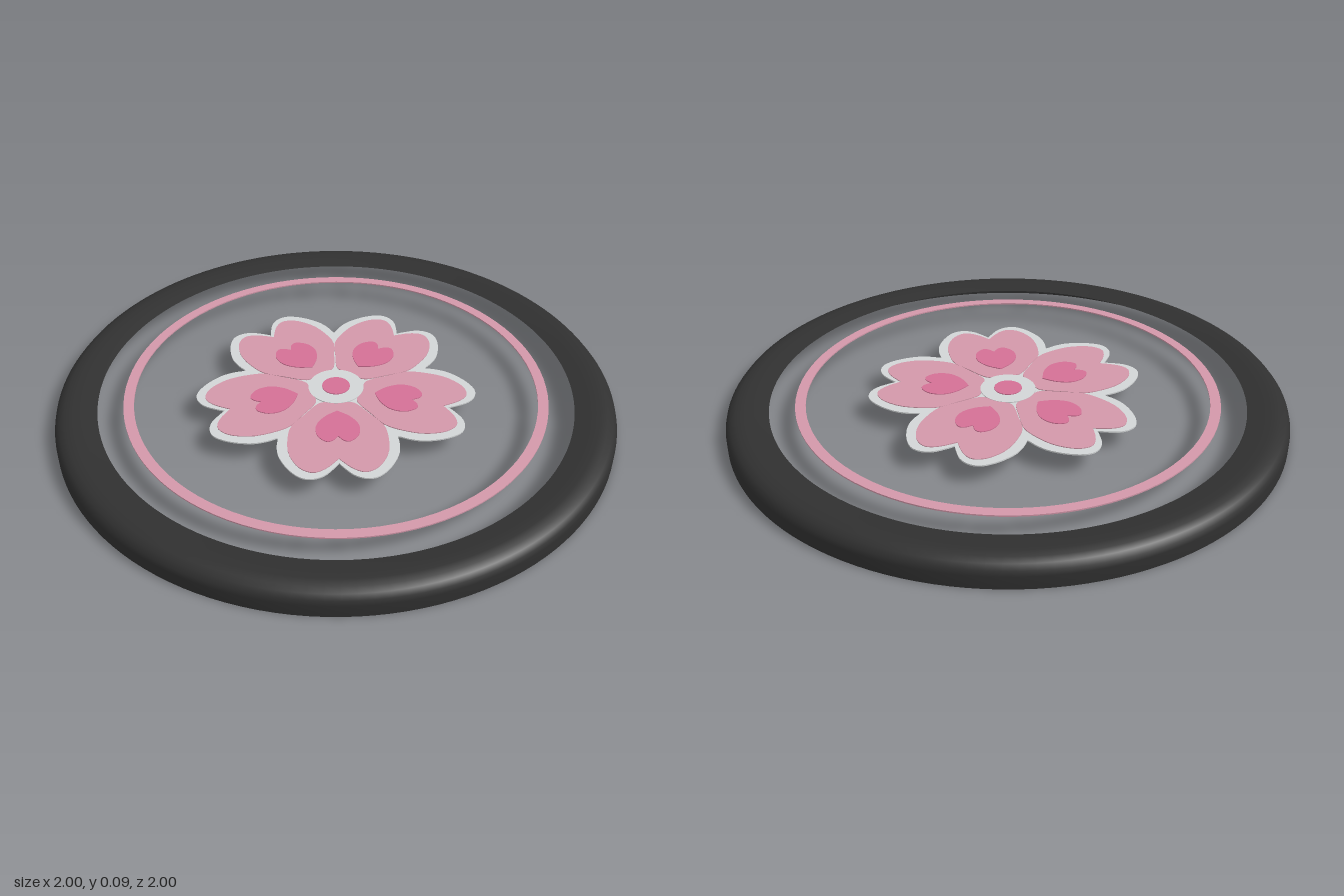
import * as THREE from 'three';

const mat = (name, color, side = THREE.FrontSide) => {
  const m = new THREE.MeshStandardMaterial({ color, side });
  m.name = name;
  return m;
};

// Thin horizontal plate: shape +y points to the back, bottom face at height y
function plate(name, shapes, material, y, depth) {
  const geo = new THREE.ExtrudeGeometry(shapes, { depth, bevelEnabled: false, curveSegments: 48 });
  geo.rotateX(-Math.PI / 2);
  const mesh = new THREE.Mesh(geo, material);
  mesh.name = name;
  mesh.position.y = y;
  return mesh;
}

const disc = (r) => new THREE.Shape().absarc(0, 0, r, 0, Math.PI * 2);

// Smooth half outline (right side), mirrored to the left half
function mirrored(half) {
  const right = new THREE.SplineCurve(half.map(([x, y]) => new THREE.Vector2(x, y))).getPoints(28);
  const left = right.slice(1, -1).reverse().map((p) => new THREE.Vector2(-p.x, p.y));
  return right.concat(left);
}

const turn = (points, i) =>
  points.map((p) => p.clone().rotateAround(new THREE.Vector2(), (-i * Math.PI * 2) / 5));

export function createModel() {
  const group = new THREE.Group();
  const black = mat('rim black', 0x303030, THREE.DoubleSide);
  const grey = mat('pale grey', 0xd2d5d6);
  const pink = mat('petal pink', 0xd398aa);
  const rose = mat('deep rose', 0xd47096);

  // Hollow rim: upright outer wall, rounded shoulder, top sloping in to the opening
  const profile = [[1, 0], [1, 0.045], [0.995, 0.062], [0.982, 0.078], [0.962, 0.087],
    [0.935, 0.09], [0.9, 0.087], [0.85, 0.078]].map(([x, y]) => new THREE.Vector2(x, y));
  const rim = new THREE.Mesh(new THREE.LatheGeometry(profile, 128), black);
  rim.name = 'rim';
  group.add(rim);

  // Thin ring around the flower
  const band = disc(0.76);
  band.holes.push(new THREE.Path().absarc(0, 0, 0.723, 0, Math.PI * 2, true));
  group.add(plate('innerRing', band, pink, 0.074, 0.005));

  // Flower backing: one outline made of five notched petals
  const edge = new THREE.SplineCurve([[0.204, 0.283], [0.208, 0.33], [0.2, 0.38], [0.17, 0.44],
    [0.13, 0.482], [0.09, 0.491], [0.05, 0.475], [0.018, 0.44], [0, 0.415]]
    .map(([x, y]) => new THREE.Vector2(x, y))).getPoints(28);
  const petalEdge = edge.slice(1)
    .concat(edge.slice(0, -1).reverse().map((p) => new THREE.Vector2(-p.x, p.y)));
  const outline = [];
  for (let i = 0; i < 5; i++) outline.push(...turn(petalEdge, -i));
  group.add(plate('flowerBacking', new THREE.Shape(outline), grey, 0.072, 0.005));

  // Petals with a heart-shaped mark on each
  const petal = mirrored([[0, 0.098], [0.045, 0.092], [0.074, 0.108], [0.115, 0.162],
    [0.16, 0.224], [0.172, 0.29], [0.169, 0.36], [0.145, 0.42], [0.115, 0.452],
    [0.08, 0.462], [0.04, 0.44], [0, 0.395]]);
  const heart = mirrored([[0, 0.145], [0.045, 0.178], [0.074, 0.225], [0.072, 0.275],
    [0.045, 0.308], [0.02, 0.306], [0, 0.282]]);
  for (let i = 0; i < 5; i++) {
    group.add(plate('petal', new THREE.Shape(turn(petal, i)), pink, 0.077, 0.003));
    group.add(plate('petalMark', new THREE.Shape(turn(heart, i)), rose, 0.08, 0.003));
  }

  // Flower centre
  group.add(plate('flowerCentre', disc(0.1), grey, 0.0775, 0.0035));
  group.add(plate('centreDot', disc(0.05), rose, 0.081, 0.003));
  return group;
}
